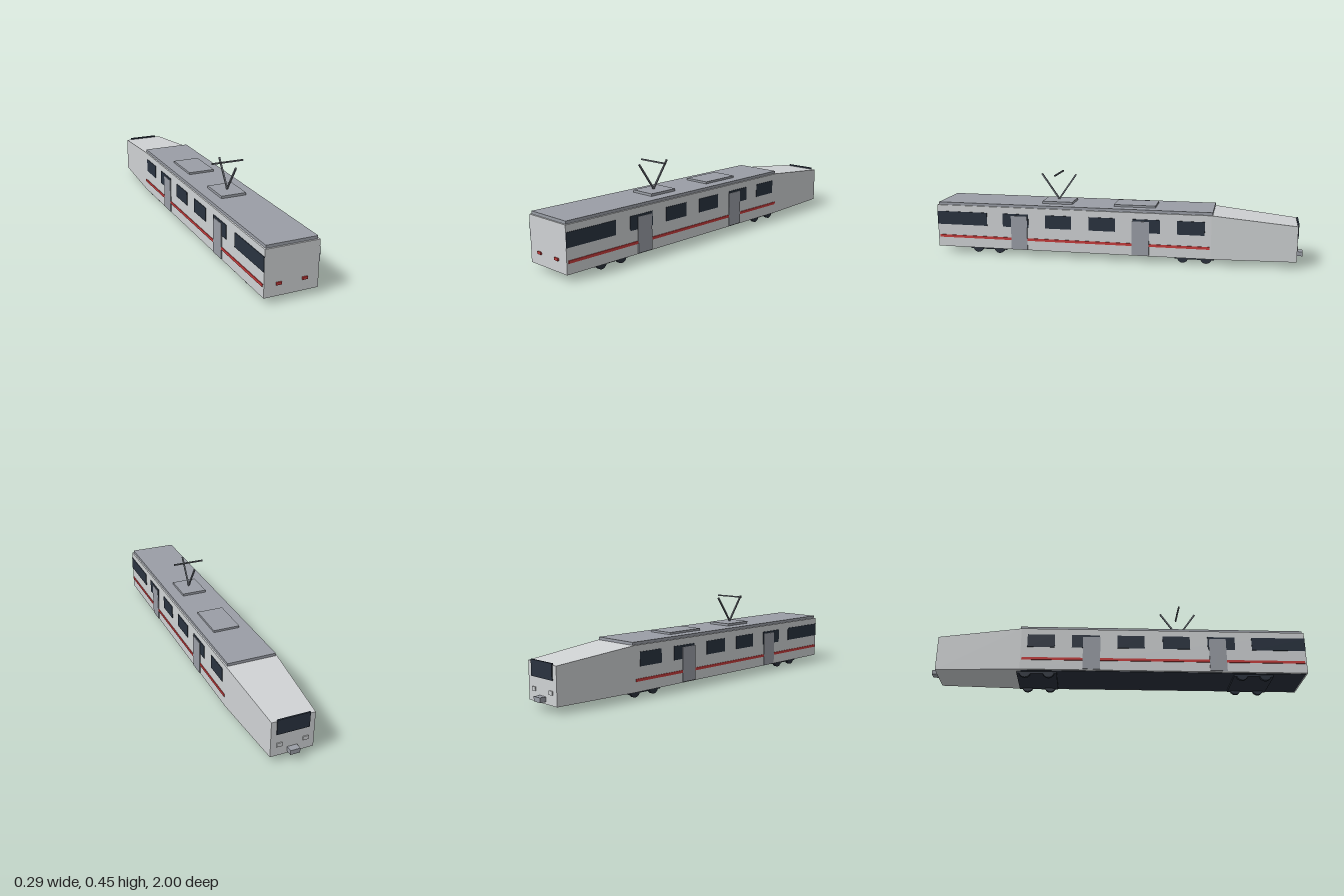
import * as THREE from 'three';

const mat = (name, color) => {
  const m = new THREE.MeshStandardMaterial({ color });
  m.name = name;
  return m;
};

export function createModel() {
  const group = new THREE.Group();
  const shell = mat('light grey shell', 0xd0d3d5);
  const roofGrey = mat('roof grey', 0x9a9ea6);
  const glass = mat('dark glass', 0x2a3340);
  const red = mat('signal red', 0xc83c3c);
  const under = mat('underframe', 0x2b323d);
  const metal = mat('pantograph metal', 0x6e737b);

  const add = (name, geometry, material) => {
    const mesh = new THREE.Mesh(geometry, material);
    mesh.name = name;
    group.add(mesh);
    return mesh;
  };
  // Box given by its minimum and maximum on each axis
  const box = (name, material, x0, x1, y0, y1, z0, z1) => {
    const mesh = add(name, new THREE.BoxGeometry(x1 - x0, y1 - y0, z1 - z0), material);
    mesh.position.set((x0 + x1) / 2, (y0 + y1) / 2, (z0 + z1) / 2);
    return mesh;
  };

  // Car body and roof
  box('body', shell, -0.138, 0.138, 0.033, 0.268, -0.525, 0.993);
  box('roof', roofGrey, -0.13, 0.13, 0.268, 0.283, -0.53, 0.985);
  box('floor', under, -0.126, 0.126, 0.031, 0.035, -0.52, 0.985);

  // Nose: a box whose far end is narrower and lower
  const nose = new THREE.BoxGeometry(0.276, 0.235, 0.442);
  nose.translate(0, 0.1505, -0.746);
  const p = nose.attributes.position;
  for (let i = 0; i < p.count; i++) {
    if (p.getZ(i) > -0.746) continue;
    p.setX(i, Math.sign(p.getX(i)) * 0.111);
    if (p.getY(i) > 0.15) p.setY(i, 0.223);
  }
  const noseGeometry = nose.toNonIndexed();
  noseGeometry.computeVertexNormals();
  add('nose', noseGeometry, shell);
  box('windshield', glass, -0.083, 0.083, 0.152, 0.232, -0.972, -0.964);
  box('coupler', roofGrey, -0.025, 0.025, 0.044, 0.068, -1, -0.96);

  // Sides: windows, stripe and doors
  const windows = [[0.705, 0.993], [0.468, 0.614], [0.228, 0.373],
    [-0.014, 0.131], [-0.256, -0.108], [-0.491, -0.346]];
  const doors = [[0.475, 0.566], [-0.197, -0.105]];
  for (const s of [-1, 1]) {
    const panel = (name, material, depth, y0, y1, [z0, z1]) => {
      const mesh = box(name, material, 0, depth, y0, y1, z0, z1);
      mesh.position.x = s * (0.1375 + depth / 2);
    };
    windows.forEach((w) => panel('sideWindow', glass, 0.0035, 0.16, 0.233, w));
    panel('sideStripe', red, 0.0045, 0.086, 0.1, [-0.518, 0.983]);
    doors.forEach((d) => panel('door', roofGrey, 0.006, 0.037, 0.222, d));

    // Lamps at both ends
    box('tailLamp', red, s * 0.066 - 0.013, s * 0.066 + 0.013, 0.088, 0.101, 0.99, 1);
    box('headLamp', shell, s * 0.067 - 0.014, s * 0.067 + 0.014, 0.083, 0.103, -0.972, -0.962);
  }

  // Bogies with four wheels each
  for (const z of [0.71, -0.437]) {
    box('bogie', under, -0.111, 0.111, 0.02, 0.033, z - 0.105, z + 0.105);
    for (const s of [-1, 1]) {
      for (const dz of [-0.062, 0.062]) {
        const wheel = add('wheel', new THREE.CylinderGeometry(0.03, 0.03, 0.017, 20), under);
        wheel.rotation.z = Math.PI / 2;
        wheel.position.set(s * 0.1025, 0.03, z + dz);
      }
    }
  }

  // Roof equipment
  box('roofUnit', roofGrey, -0.072, 0.072, 0.283, 0.294, -0.222, 0.005);
  box('pantographBase', roofGrey, -0.068, 0.068, 0.283, 0.296, 0.238, 0.407);

  // Pantograph: V-shaped arms and contact bar
  const foot = new THREE.Vector3(0, 0.3, 0.328);
  for (const s of [-1, 1]) {
    const tip = new THREE.Vector3(0, 0.439, 0.328 + s * 0.097);
    const arm = add('pantographArm', new THREE.BoxGeometry(0.008, 0.008, foot.distanceTo(tip)), metal);
    arm.position.copy(foot).lerp(tip, 0.5);
    arm.lookAt(tip);
  }
  box('contactBar', metal, -0.087, 0.087, 0.439, 0.446, 0.324, 0.332);

  return group;
}
